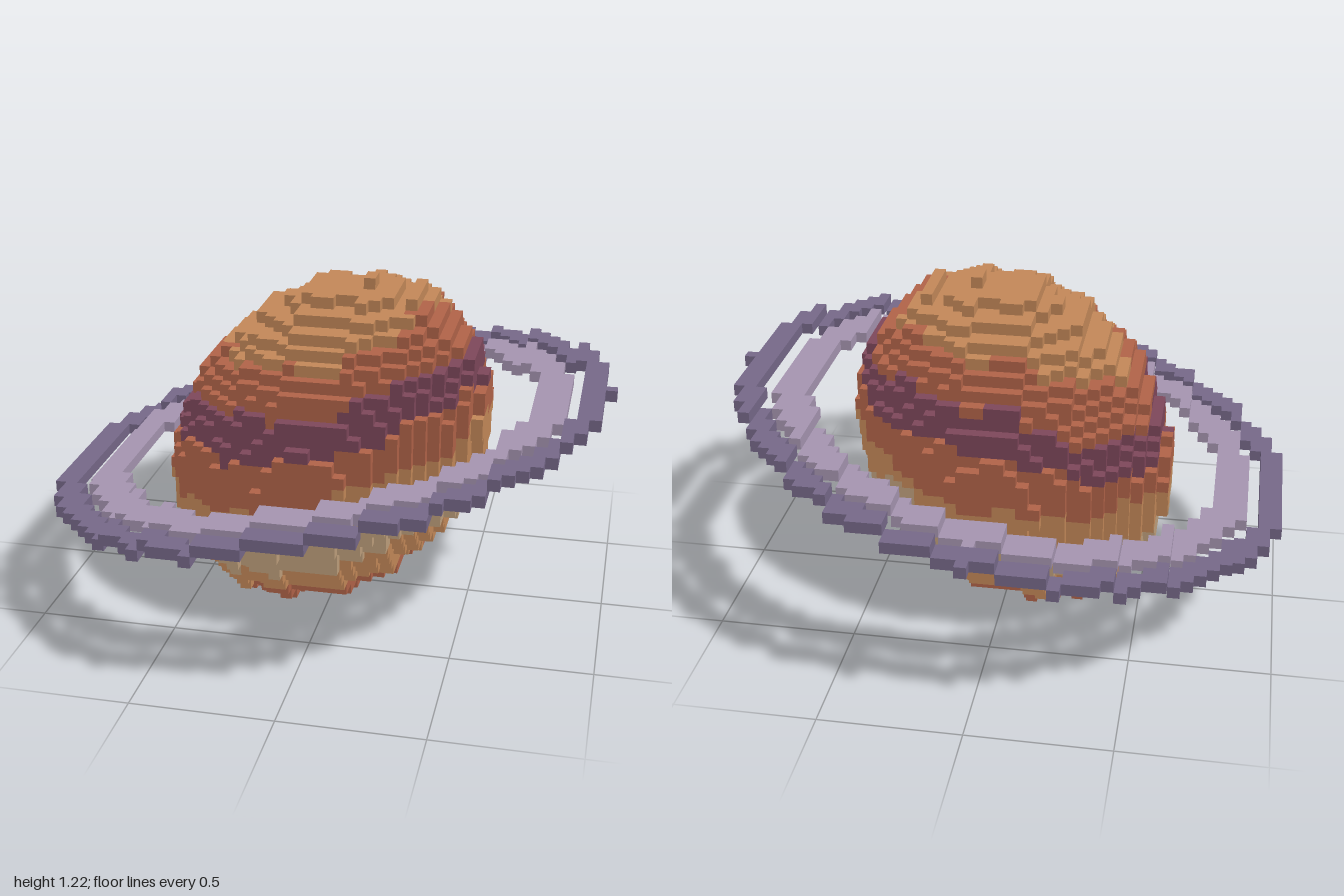
import * as THREE from 'three';
import { mergeGeometries } from 'three/addons/utils/BufferGeometryUtils.js';

const CELL = 2 / 49;                             // edge of one cube
const level = x => Math.round(x / 4.5);          // stepped tilt towards +x
const colours = {
  tan: 0xc68a5a, rust: 0xb4654a, plum: 0x80485c, cream: 0xc2a27e,
  darkViolet: 0x786a8b, paleViolet: 0xa897b3,
};

// One cube side per direction
const sides = [[1, 0, 0], [-1, 0, 0], [0, 1, 0], [0, -1, 0], [0, 0, 1], [0, 0, -1]].map(d => {
  const turn = new THREE.Quaternion().setFromUnitVectors(new THREE.Vector3(0, 0, 1), new THREE.Vector3(...d));
  const plane = new THREE.PlaneGeometry(CELL, CELL).applyQuaternion(turn);
  return { d, plane: plane.translate(...d.map(n => n * CELL / 2)) };
});

// Turn cells into one mesh per colour, keeping only the exposed cube sides.
// colourAt(x, y, z) gives a colour name, or null where there is no cube.
function buildCells(colourAt, reach, names) {
  const faces = {};
  for (let x = -reach; x <= reach; x++)
    for (let z = -reach; z <= reach; z++)
      for (let y = 0; y < 31; y++) {
        const colour = colourAt(x, y, z);
        if (!colour) continue;
        for (const { d, plane } of sides) {
          if (colourAt(x + d[0], y + d[1], z + d[2])) continue;
          (faces[colour] ??= []).push(plane.clone().translate(x * CELL, (y + 0.5) * CELL, z * CELL));
        }
      }
  return Object.entries(faces).map(([colour, list]) => {
    const material = new THREE.MeshStandardMaterial({ color: colours[colour] });
    material.name = colour;
    const mesh = new THREE.Mesh(mergeGeometries(list), material);
    mesh.name = names[colour];
    return mesh;
  });
}

// Ball sheared by the stepped tilt, with wavy colour bands
function planetColour(x, y, z) {
  const px = x + 0.5, pz = z - 0.5, h = y - 14.5 - level(x);
  if (px * px + h * h + pz * pz > 196) return null;
  const a = Math.atan2(pz, px);
  const wave = (size, n, degrees) => size * Math.cos(n * (a - degrees * Math.PI / 180));
  const ripple = wave(0.3, 7, 10);
  if (h > 10 + wave(0.6, 3, 20) + ripple) return 'tan';
  if (h > 6.7 + wave(0.6, 3, 150) + ripple) return 'rust';
  if (h > 3.4 + wave(0.5, 3, 150) - ripple) return 'plum';
  if (h > -0.2 + wave(0.7, 2, 20) + ripple) return 'rust';
  if (h > -3.2 + wave(0.9, 3, 60) + ripple) return 'tan';
  if (h > -7.4 + wave(0.6, 3, 40) - ripple) return 'cream';
  if (h > -10.8 + wave(0.5, 3, 0) + ripple) return 'tan';
  return 'rust';
}

// Two flat rings, stepping up towards +x, with a narrow gap between them
function ringColour(x, y, z) {
  if (y !== 15 + level(x)) return null;
  if ((x === 24 && z === 0) || (x === 0 && z === -24)) return 'darkViolet';
  if (x === 0 && z === -21) return 'paleViolet';
  const r = Math.hypot(x + 0.5, z - 0.5);
  if (r > 22.5 && r < 24.5) return 'darkViolet';
  if (r > 18.5 && r < 21.5) return 'paleViolet';
  return null;
}

export function createModel() {
  const model = new THREE.Group();
  model.name = 'ringedPlanet';

  const planet = new THREE.Group();
  planet.name = 'planet';
  planet.add(...buildCells(planetColour, 15, {
    tan: 'tanBands', rust: 'rustBands', plum: 'plumBand', cream: 'creamBand',
  }));

  const rings = new THREE.Group();
  rings.name = 'rings';
  rings.add(...buildCells(ringColour, 25, { darkViolet: 'outerRing', paleViolet: 'innerRing' }));

  model.add(planet, rings);
  return model;
}
